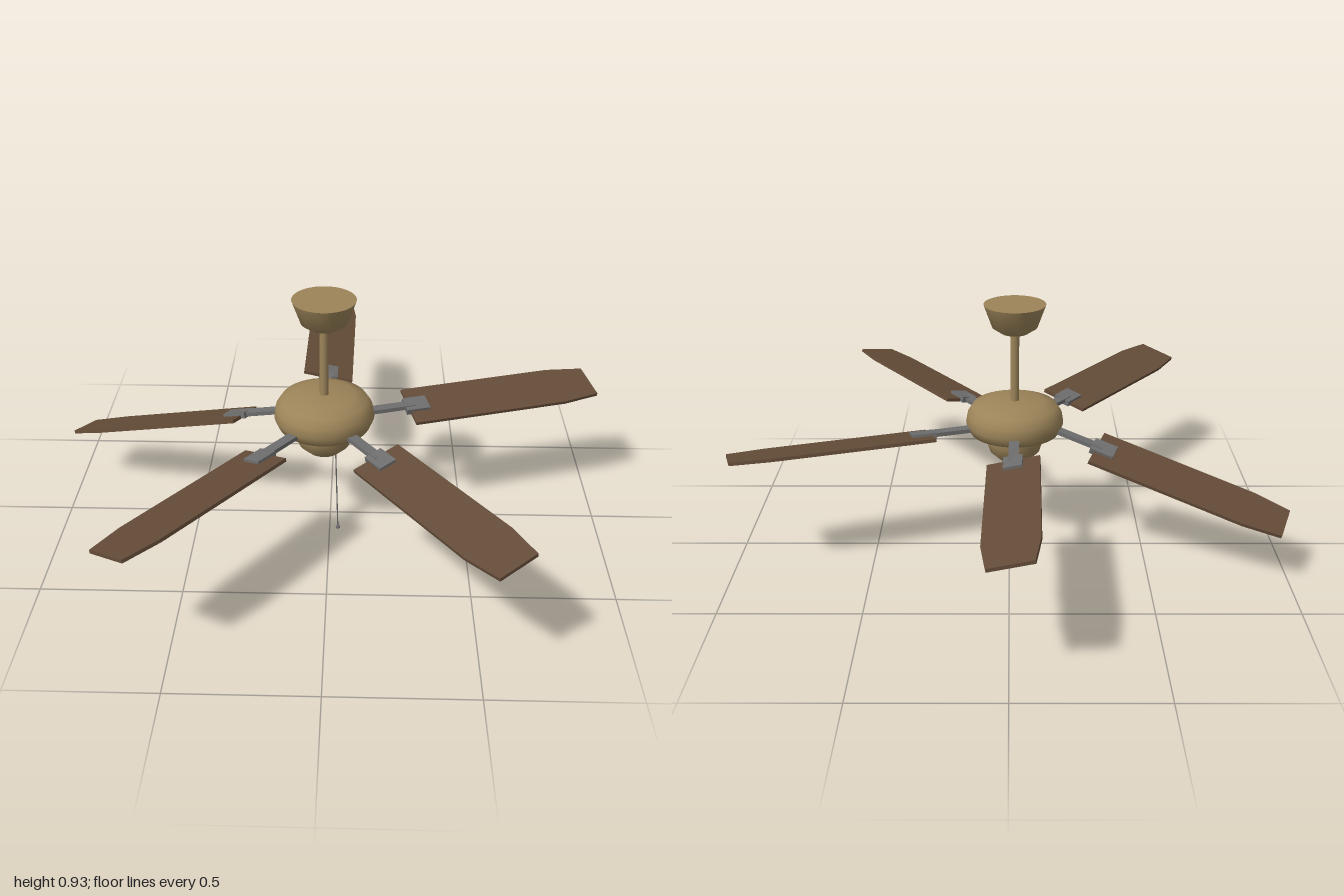
import * as THREE from 'three';
import { toCreasedNormals } from 'three/addons/utils/BufferGeometryUtils.js';

const rad = THREE.MathUtils.degToRad;
const bronze = new THREE.MeshStandardMaterial({ color: 0x9c8459 });
const wood = new THREE.MeshStandardMaterial({ color: 0x644c38 });
const steel = new THREE.MeshStandardMaterial({ color: 0x6e6e6e });

function add(parent, name, geometry, material, x = 0, y = 0, z = 0) {
  const mesh = new THREE.Mesh(geometry, material);
  mesh.name = name;
  mesh.position.set(x, y, z);
  parent.add(mesh);
  return mesh;
}

// Turned part from [radius, height] pairs, listed bottom to top
function turned(points) {
  const profile = points.map(([r, y]) => new THREE.Vector2(r, y));
  return toCreasedNormals(new THREE.LatheGeometry(profile, 40), 0.9);
}

// Flat board along +x with tapered tip corners, centred on its thickness
function bladeGeometry(start, end, halfWidth, halfTip, taper, thickness) {
  const shape = new THREE.Shape();
  shape.moveTo(start, -halfWidth);
  shape.lineTo(end - taper, -halfWidth);
  shape.lineTo(end, -halfTip);
  shape.lineTo(end, halfTip);
  shape.lineTo(end - taper, halfWidth);
  shape.lineTo(start, halfWidth);
  shape.closePath();
  const g = new THREE.ExtrudeGeometry(shape, { depth: thickness, bevelEnabled: false });
  return g.translate(0, 0, -thickness / 2).rotateX(-Math.PI / 2);
}

export function createModel() {
  const root = new THREE.Group();
  root.name = 'ceilingFan';
  const fan = new THREE.Group();
  fan.name = 'fan';
  fan.position.set(-0.02, 0, 0.073);
  root.add(fan);

  // Ceiling mount, rod, motor and switch cup
  add(fan, 'canopy', turned([[0, 0.815], [0.05, 0.82], [0.082, 0.842], [0.112, 0.925], [0, 0.925]]), bronze);
  add(fan, 'downRod', new THREE.CylinderGeometry(0.016, 0.016, 0.3, 20), bronze, 0, 0.69, 0);
  add(fan, 'motorHousing', turned([
    [0, 0.422], [0.115, 0.422], [0.165, 0.44], [0.18, 0.475], [0.174, 0.51], [0.155, 0.54], [0.108, 0.558], [0, 0.56],
  ]), bronze);
  add(fan, 'switchCup', turned([
    [0, 0.326], [0.06, 0.331], [0.093, 0.362], [0.105, 0.4], [0.107, 0.43],
  ]), bronze);

  // Pull chain with a small bead
  const chain = new THREE.LineCurve3(new THREE.Vector3(0.042, 0.34, 0.035), new THREE.Vector3(0.051, 0.008, 0.035));
  add(fan, 'pullChain', new THREE.TubeGeometry(chain, 1, 0.0025, 6), steel);
  add(fan, 'chainBead', new THREE.SphereGeometry(0.008, 12, 8), steel, 0.051, 0.008, 0.035);

  // Five arms with pitched blades; one hangs down from the housing
  const pivot = 0.15;
  const board = bladeGeometry(0.32 - pivot, 1.045 - pivot, 0.094, 0.075, 0.14, 0.012);
  for (let i = 0; i < 5; i++) {
    const spoke = new THREE.Group();
    spoke.name = 'spoke' + (i + 1);
    spoke.rotation.y = rad(89.2 + 72 * i);
    fan.add(spoke);

    const arm = new THREE.Group();
    arm.name = 'bladeAssembly' + (i + 1);
    arm.position.set(pivot, 0.456, 0);
    arm.rotation.z = i === 1 ? rad(-15.6) : 0;
    spoke.add(arm);

    add(arm, 'bladeArm', new THREE.BoxGeometry(0.21, 0.015, 0.037), steel, 0.085, 0.008, 0);
    const pitched = new THREE.Group();
    pitched.name = 'pitchedBlade';
    pitched.rotation.x = rad(12);
    arm.add(pitched);
    add(pitched, 'blade', board, wood);
    add(pitched, 'bladePlate', new THREE.BoxGeometry(0.088, 0.022, 0.068), steel, 0.348 - pivot, 0.005, 0);
  }
  return root;
}
